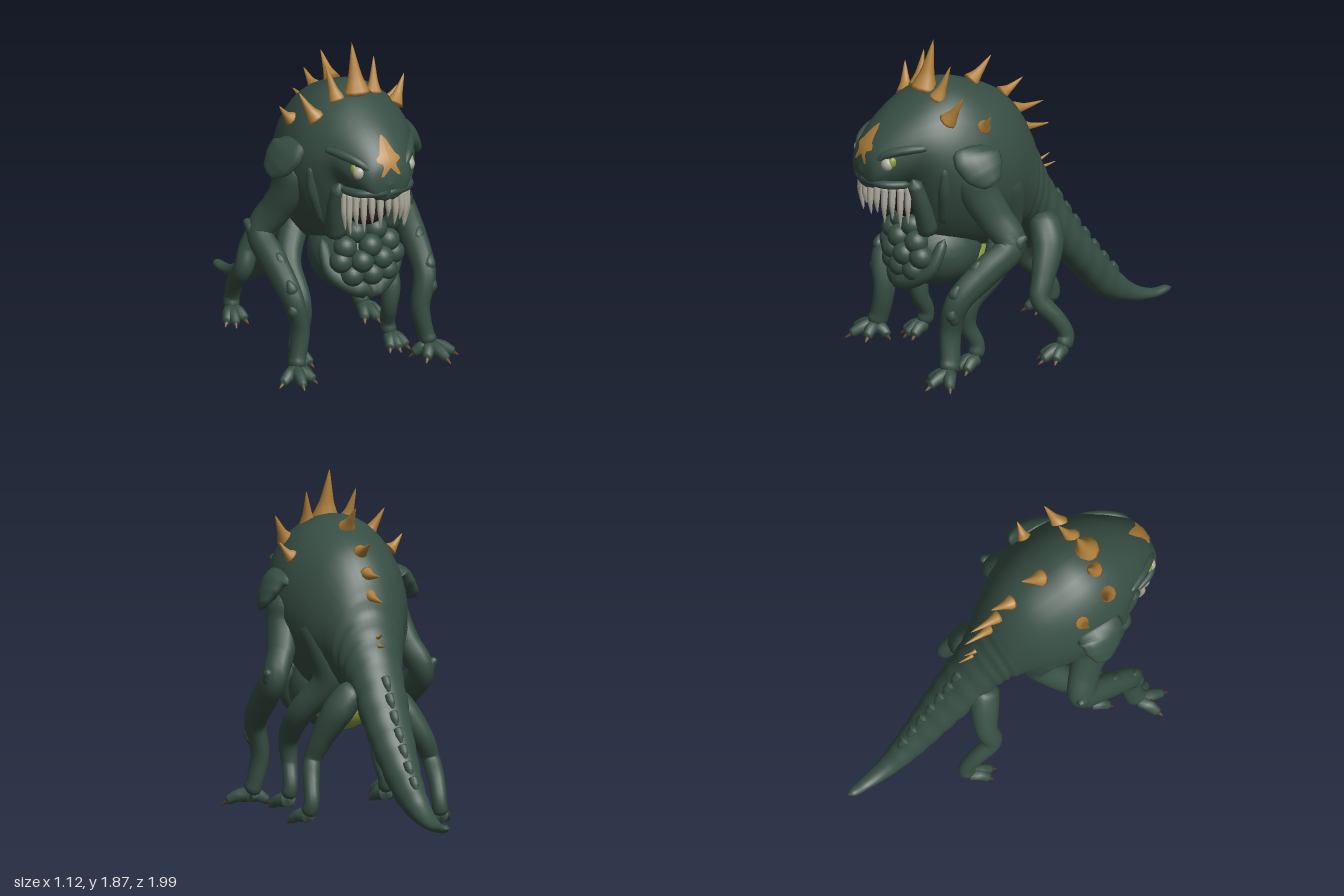
import * as THREE from 'three';

const V = (x, y, z) => new THREE.Vector3(x, y, z);
const mat = (name, color) => Object.assign(new THREE.MeshStandardMaterial({ color }), { name });

export function createModel() {
  const model = new THREE.Group();
  model.name = 'spinedBeast';
  const hide = mat('hide green', 0x374e44);
  const gold = mat('horn gold', 0xb0803a);
  gold.side = THREE.DoubleSide;
  const ivory = mat('tooth ivory', 0xb0ac9f);
  const lime = mat('lime', 0x8a9c3c);
  const dark = mat('mouth dark', 0x241d1a);
  const claw = mat('claw brown', 0x553c2a);

  const add = (name, geometry, material, parent = model) => {
    const mesh = new THREE.Mesh(geometry, material);
    mesh.name = name;
    parent.add(mesh);
    return mesh;
  };

  // Closed skin over rings; point(u, angle) gives the surface
  function skin(rows, sides, point) {
    const pos = [], idx = [];
    for (let i = 0; i <= rows; i++)
      for (let j = 0; j < sides; j++) pos.push(...point(i / rows, (j / sides) * Math.PI * 2).toArray());
    for (let i = 0; i < rows; i++)
      for (let j = 0; j < sides; j++) {
        const k = (j + 1) % sides, a = i * sides + j, b = i * sides + k;
        idx.push(a, b, a + sides, b, b + sides, a + sides);
      }
    const g = new THREE.BufferGeometry();
    g.setAttribute('position', new THREE.Float32BufferAttribute(pos, 3));
    g.setIndex(idx);
    g.computeVertexNormals();
    return g;
  }

  // Rounded tapering tube through points [x, y, z, radius]; flat deepens it front to back
  function taper(name, pts, material = hide, parent = model, sides = 12, flat = 1) {
    const curve = new THREE.CatmullRomCurve3(pts.map(p => V(p[0], p[1], p[2])));
    const n = pts.length - 1;
    const geo = skin(n * 6, sides, (u, a) => {
      const k = Math.min(n - 1, Math.floor(u * n));
      const e = Math.min(1, Math.min(u, 1 - u) / 0.08);
      const r = THREE.MathUtils.lerp(pts[k][3], pts[k + 1][3], u * n - k) * Math.sqrt(1 - (1 - e) ** 2);
      const t = curve.getTangent(u), nrm = t.clone().cross(V(1, 0, 0)).normalize();
      const bin = t.clone().cross(nrm);
      return curve.getPoint(u).addScaledVector(nrm, r * flat * Math.cos(a)).addScaledVector(bin, r * Math.sin(a));
    });
    return add(name, geo, material, parent);
  }

  function ball(name, p, r, material, parent = model) {
    const m = add(name, new THREE.SphereGeometry(1, 20, 14), material, parent);
    m.position.set(...p);
    m.scale.set(...r);
    return m;
  }

  // Head, hunched back and tail: [topZ, topY, bottomZ, bottomY, halfWidth, x]
  const rings = [
    [0.992, 1.201, 0.992, 1.199, 0.001, 0], [0.965, 1.32, 0.965, 1.1, 0.125, 0],
    [0.88, 1.43, 0.87, 1.07, 0.19, 0], [0.75, 1.53, 0.76, 1.06, 0.255, 0],
    [0.6, 1.61, 0.7, 0.89, 0.32, 0], [0.45, 1.64, 0.62, 0.73, 0.36, 0],
    [0.3, 1.6, 0.45, 0.64, 0.37, 0], [0.12, 1.51, 0.25, 0.62, 0.32, 0],
    [0, 1.37, 0.1, 0.68, 0.245, 0], [-0.08, 1.18, 0.01, 0.69, 0.195, 0],
    [-0.17, 0.98, -0.05, 0.65, 0.16, 0], [-0.3, 0.75, -0.2, 0.5, 0.14, 0],
    [-0.45, 0.53, -0.36, 0.32, 0.115, 0], [-0.61, 0.32, -0.52, 0.155, 0.085, -0.01],
    [-0.76, 0.17, -0.71, 0.08, 0.058, -0.025], [-0.88, 0.118, -0.88, 0.065, 0.038, -0.035],
    [-0.97, 0.118, -0.97, 0.078, 0.025, -0.045], [-1, 0.101, -1, 0.099, 0.001, -0.045],
  ];
  const topLine = new THREE.CatmullRomCurve3(rings.map(r => V(r[5], r[1], r[0])));
  const bottomLine = new THREE.CatmullRomCurve3(rings.map(r => V(r[4], r[3], r[2])));
  const body = add('body', skin(136, 36, (u, a) => {
    const t = topLine.getPoint(u), b = bottomLine.getPoint(u), x = t.x;
    // The chest narrows toward the belly
    const w = b.x * (1 - 0.2 * Math.max(0, -Math.cos(a)) * Math.sin(Math.PI * Math.min(1, u / 0.6)));
    t.x = b.x = 0;
    const mid = t.clone().lerp(b, 0.5), up = t.sub(b).multiplyScalar(0.5);
    // Skin folds along the lower back and tail
    const fold = 1 + (u > 0.5 && u < 0.82 ? 0.025 * Math.sin(u * 200) : 0);
    return mid.addScaledVector(up, Math.cos(a) * fold).add(V(x + w * fold * Math.sin(a), 0, 0));
  }), hide);

  // Forehead marking: thin plate laid over the brow, rows of [y, inner, outer]
  const ray = new THREE.Raycaster();
  const onFace = (x, y) => {
    ray.set(V(x, y, 2), V(0, 0, -1));
    const hit = ray.intersectObject(body)[0];
    return V(x, y, (hit ? hit.point.z : 0.9) + 0.006);
  };
  const mark = [[1.25, 0.045, 0.06], [1.275, 0.02, 0.052], [1.295, 0, 0.04], [1.315, 0, 0.04],
    [1.33, 0, 0.072], [1.345, 0, 0.07], [1.365, 0, 0.048], [1.39, 0, 0.036], [1.425, 0, 0.022], [1.45, 0, 0.004]];
  for (const s of [1, -1]) {
    const g = new THREE.PlaneGeometry(1, 1, 4, mark.length - 1), p = g.attributes.position;
    for (let i = 0; i < p.count; i++) {
      const [y, a, b] = mark[Math.floor(i / 5)];
      p.setXYZ(i, ...onFace(s * THREE.MathUtils.lerp(a, b, (i % 5) / 4), y).toArray());
    }
    g.computeVertexNormals();
    add('foreheadMark', g, gold);
  }

  // Horns: base, tip, base radius
  const horn = (b, t, r) => taper('horn', [
    [...b, r], [b[0] * 0.6 + t[0] * 0.4, b[1] * 0.6 + t[1] * 0.4 - 0.008, b[2] * 0.6 + t[2] * 0.4, r * 0.48], [...t, 0.002],
  ], gold, model, 10);
  horn([0, 1.58, 0.59], [0, 1.88, 0.525], 0.085);
  horn([0, 1.58, 0.3], [0, 1.72, 0.16], 0.055);
  horn([0, 1.475, 0.11], [0, 1.55, -0.04], 0.048);
  horn([0, 1.375, 0.03], [0, 1.385, -0.17], 0.042);
  horn([0, 1.265, -0.01], [0, 1.245, -0.21], 0.038);
  horn([0, 1.04, -0.12], [0, 1.07, -0.21], 0.018);
  horn([0, 1.0, -0.13], [0, 1.01, -0.25], 0.018);
  for (const s of [1, -1]) {
    horn([s * 0.11, 1.56, 0.57], [s * 0.15, 1.77, 0.5], 0.055);
    horn([s * 0.235, 1.48, 0.57], [s * 0.33, 1.645, 0.52], 0.058);
    horn([s * 0.29, 1.43, 0.37], [s * 0.37, 1.52, 0.37], 0.045);
  }

  // Mouth and hanging fangs
  ball('mouth', [0, 0.98, 0.725], [0.13, 0.1, 0.04], dark);
  for (let i = 0; i < 13; i++) {
    const a = -1.5 + (i / 12) * 3, k = Math.abs(a) / 1.5;
    const x = 0.18 * Math.sin(a), z = 0.77 + 0.175 * Math.cos(a);
    const len = 0.13 + 0.1 * k + (i % 2) * 0.035;
    taper('fang', [[x, 1.145, z, 0.023], [x * 1.06, 1.12 - len * 0.5, z + 0.01, 0.018], [x * 0.98, 1.12 - len, z, 0.003]], ivory, model, 8);
  }
  taper('upperLip', [[-0.205, 1.14, 0.78, 0.022], [-0.15, 1.145, 0.91, 0.024], [0, 1.15, 0.968, 0.025],
    [0.15, 1.145, 0.91, 0.024], [0.205, 1.14, 0.78, 0.022]]);

  // Egg sac: bowl, rim, egg cluster and pale belly patch
  ball('sacBowl', [0, 0.66, 0.5], [0.235, 0.22, 0.25], hide);
  taper('sacRim', [[-0.21, 0.78, 0.57, 0.03], [-0.195, 0.6, 0.66, 0.04], [0, 0.5, 0.735, 0.055],
    [0.195, 0.6, 0.66, 0.04], [0.21, 0.78, 0.57, 0.03]]);
  const eggRows = [[0.835, [-0.065, 0.06]], [0.76, [-0.135, 0, 0.13]], [0.68, [-0.16, -0.055, 0.07, 0.165]], [0.595, [-0.1, 0.01, 0.115]]];
  for (const [y, xs] of eggRows)
    for (const x of xs) {
      const d = 1 - (x / 0.25) ** 2 - ((y - 0.68) / 0.24) ** 2;
      ball('egg', [x, y, 0.52 + 0.235 * Math.sqrt(Math.max(0.1, d))], [0.066, 0.066, 0.066], hide);
    }
  ball('bellyPatch', [0, 0.595, 0.35], [0.165, 0.14, 0.15], lime);

  // Limb with a clawed foot at the end of its path
  function limb(name, pts, toes, flat = 1.1) {
    const g = new THREE.Group();
    g.name = name;
    model.add(g);
    taper(name + 'Leg', pts, hide, g, 14, flat);
    const [x, y, z] = pts[pts.length - 1];
    for (const [dx, dz] of toes) {
      taper('toe', [[x, y, z, 0.045], [x + dx * 0.5, 0.06, z + dz * 0.5, 0.037], [x + dx, 0.027, z + dz, 0.024]], hide, g, 8);
      taper('claw', [[x + dx * 0.9, 0.03, z + dz * 0.9, 0.018], [x + dx * 1.18, 0.01, z + dz * 1.18, 0.003]], claw, g, 6);
    }
  }

  for (const s of [1, -1]) {
    // Eyes under slanted brows
    ball('eye', [s * 0.15, 1.265, 0.9], [0.04, 0.04, 0.036], ivory);
    ball('iris', [s * 0.178, 1.28, 0.878], [0.016, 0.03, 0.026], lime);
    taper('brow', [[s * 0.08, 1.25, 0.95, 0.018], [s * 0.145, 1.318, 0.905, 0.024], [s * 0.21, 1.35, 0.81, 0.026], [s * 0.265, 1.36, 0.7, 0.018]]);
    taper('cheek', [[s * 0.205, 1.17, 0.77, 0.04], [s * 0.2, 1.0, 0.71, 0.05], [s * 0.16, 0.8, 0.64, 0.06]]);
    taper('neckFold', [[s * 0.315, 1.26, 0.63, 0.02], [s * 0.295, 1.1, 0.62, 0.035], [s * 0.2, 0.86, 0.58, 0.03]]);

    // Pointed shoulder flap
    taper('shoulderFlap', [[s * 0.3, 1.32, 0.45, 0.05], [s * 0.365, 1.28, 0.45, 0.055], [s * 0.415, 1.215, 0.43, 0.045], [s * 0.465, 1.15, 0.4, 0.018]],
      hide, model, 14, 2.6);

    // Front arm with elbow spur and forearm bumps
    limb('frontArm', [[s * 0.3, 1.24, 0.44, 0.11], [s * 0.33, 1.07, 0.42, 0.088], [s * 0.375, 0.91, 0.34, 0.078],
      [s * 0.445, 0.77, 0.28, 0.068], [s * 0.435, 0.64, 0.43, 0.07], [s * 0.415, 0.48, 0.6, 0.06],
      [s * 0.375, 0.3, 0.625, 0.05], [s * 0.4, 0.14, 0.64, 0.045], [s * 0.42, 0.07, 0.66, 0.05]],
    [[s * 0.12, 0.06], [s * 0.03, 0.145], [s * -0.07, 0.09], [s * -0.1, -0.03]], 1.28);
    taper('elbowSpur', [[s * 0.45, 0.74, 0.28, 0.055], [s * 0.485, 0.8, 0.25, 0.04], [s * 0.51, 0.83, 0.22, 0.012]]);
    for (const [y, z] of [[0.66, 0.5], [0.54, 0.63], [0.42, 0.65]])
      taper('forearmBump', [[s * 0.415, y - 0.06, z - 0.03, 0.03], [s * 0.43, y, z, 0.035], [s * 0.445, y + 0.05, z - 0.02, 0.01]]);

    // Middle leg
    limb('middleLeg', [[s * 0.27, 1.14, 0.24, 0.09], [s * 0.2, 0.95, 0.17, 0.09], [s * 0.16, 0.78, 0.16, 0.085],
      [s * 0.275, 0.57, 0.3, 0.07], [s * 0.28, 0.4, 0.45, 0.056], [s * 0.27, 0.27, 0.46, 0.045],
      [s * 0.285, 0.15, 0.41, 0.04], [s * 0.295, 0.07, 0.425, 0.045]],
    [[s * 0.06, 0.09], [s * 0.0, 0.11], [s * -0.05, 0.09]]);
  }

  // Hind legs caught mid-stride
  limb('leftHind', [[0.1, 0.78, -0.1, 0.08], [0.21, 0.64, -0.08, 0.085], [0.285, 0.47, -0.01, 0.062], [0.32, 0.35, 0.03, 0.05],
    [0.36, 0.24, -0.05, 0.045], [0.38, 0.14, -0.1, 0.042], [0.39, 0.065, -0.07, 0.048]],
  [[0.07, 0.08], [0.02, 0.14], [-0.05, 0.11]]);
  limb('rightHind', [[-0.08, 0.72, -0.13, 0.08], [-0.16, 0.6, -0.18, 0.078], [-0.24, 0.47, -0.22, 0.06], [-0.285, 0.36, -0.21, 0.052],
    [-0.28, 0.25, -0.31, 0.047], [-0.27, 0.14, -0.37, 0.042], [-0.28, 0.065, -0.36, 0.048]],
  [[-0.08, 0.09], [-0.04, 0.13], [0.04, 0.1]]);

  // Low ridges down the tail
  for (let i = 0; i < 7; i++) {
    const p = topLine.getPoint(0.63 + i * 0.023);
    taper('tailRidge', [[p.x, p.y + 0.02, p.z + 0.025, 0.03], [p.x, p.y - 0.02, p.z - 0.008, 0.025], [p.x, p.y - 0.06, p.z - 0.03, 0.008]], hide, model, 8);
  }
  return model;
}
